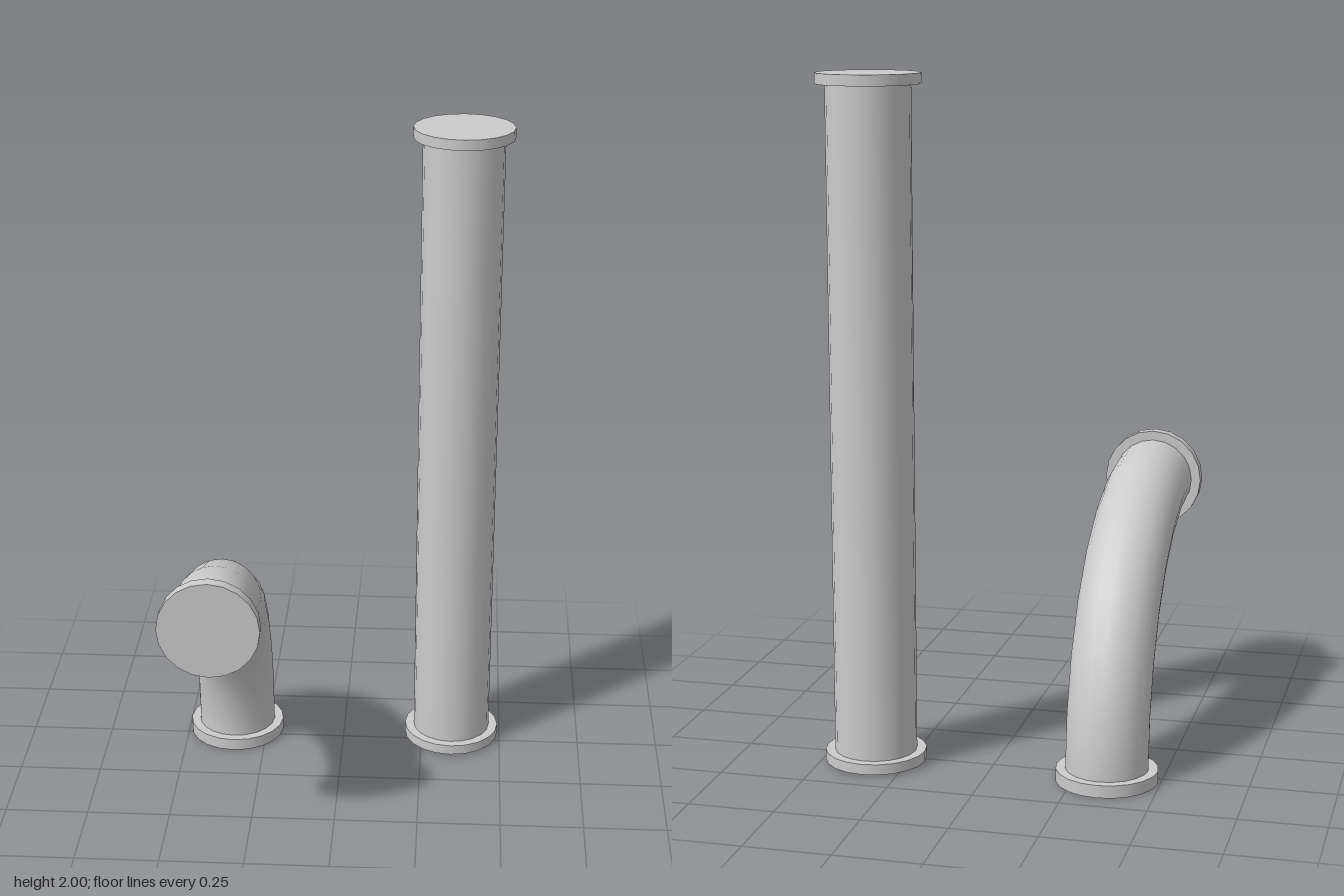
import * as THREE from 'three';

const PIPE_R = 0.12, FLANGE_R = 0.148, SIDES = 20;
const X = 0.345, Z = -0.29;

export function createModel() {
  const model = new THREE.Group();
  const material = new THREE.MeshStandardMaterial({ color: 0xcccccc });

  const add = (name, geometry, parent, x, y, z) => {
    const mesh = new THREE.Mesh(geometry, material);
    mesh.name = name;
    mesh.position.set(x, y, z);
    parent.add(mesh);
    return mesh;
  };
  const disc = (h) => new THREE.CylinderGeometry(FLANGE_R, FLANGE_R, h, SIDES);

  // Straight pipe with a flange at each end
  const straight = new THREE.Group();
  straight.name = 'straightPipe';
  const low = 0.007, high = 2, t = 0.031;
  add('straightTube', new THREE.CylinderGeometry(PIPE_R, PIPE_R, high - low - 2 * t, SIDES, 1, true),
    straight, X, (low + high) / 2, Z);
  add('straightBottomFlange', disc(t), straight, X, low + t / 2, Z);
  add('straightTopFlange', disc(t), straight, X, high - t / 2, Z);

  // Elbow: a quarter turn from the floor up to a front-facing opening
  const elbow = new THREE.Group();
  elbow.name = 'elbowPipe';
  const e = 0.037, frontZ = 0.44, bendR = frontZ - e - Z;
  const bend = new THREE.TorusGeometry(bendR, PIPE_R, SIDES, 7, Math.PI / 2);
  bend.rotateY(Math.PI / 2);
  add('elbowTube', bend, elbow, -X, e, frontZ - e);
  add('elbowBottomFlange', disc(e), elbow, -X, e / 2, Z);
  add('elbowFrontFlange', disc(e).rotateX(Math.PI / 2), elbow, -X, e + bendR, frontZ - e / 2);

  model.add(straight, elbow);
  return model;
}
